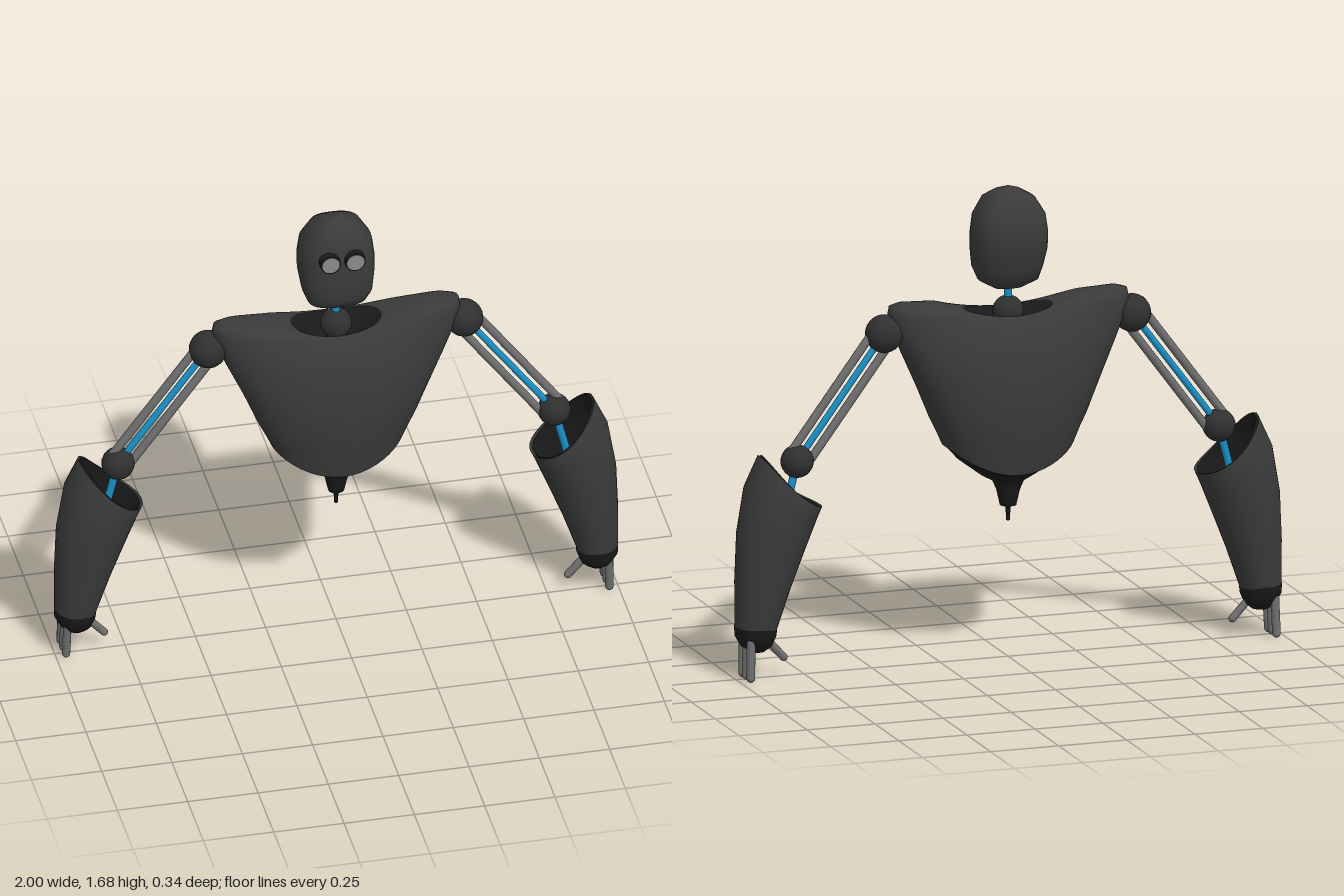
import * as THREE from 'three';

const material = (color, side = THREE.FrontSide) => new THREE.MeshStandardMaterial({ color, side, roughness: 0.8 });
const shell = material(0x3a3a3a, THREE.DoubleSide);
const joint = material(0x303030);
const dark = material(0x1a1a1a, THREE.DoubleSide);
const metal = material(0x6e6e6e);
const blue = material(0x1a8fc4);
const lens = material(0x8a8a8a);

function add(parent, name, geometry, mat) {
  const mesh = new THREE.Mesh(geometry, mat);
  mesh.name = name;
  parent.add(mesh);
  return mesh;
}

// Skin over rings listed from low to high: [cx, cz, halfWidth, halfDepth, y, tilt, bow].
// Tilt raises the +x side, bow raises both sides; power < 1 squares the section.
function loft(rings, { sides = 32, px = 1, pz = 1, capBottom = false, capTop = false } = {}) {
  const pos = [], idx = [];
  const squash = (v, p) => Math.sign(v) * Math.abs(v) ** p;
  rings.forEach(([cx, cz, w, d, y, tilt = 0, bow = 0]) => {
    for (let i = 0; i < sides; i++) {
      const a = (i / sides) * Math.PI * 2;
      const u = squash(Math.cos(a), px), v = squash(Math.sin(a), pz);
      pos.push(cx + w * u, y + tilt * u + bow * u * u, cz + d * v);
    }
  });
  for (let j = 0; j < rings.length - 1; j++) {
    for (let i = 0; i < sides; i++) {
      const a = j * sides + i, c = j * sides + (i + 1) % sides;
      idx.push(a, a + sides, c, c, a + sides, c + sides);
    }
  }
  const cap = (j, up) => {
    const [cx, cz, , , y] = rings[j], centre = pos.length / 3;
    pos.push(cx, y, cz);
    for (let i = 0; i < sides; i++) {
      const a = j * sides + i, b = j * sides + (i + 1) % sides;
      idx.push(centre, up ? b : a, up ? a : b);
    }
  };
  if (capBottom) cap(0, false);
  if (capTop) cap(rings.length - 1, true);
  const g = new THREE.BufferGeometry();
  g.setAttribute('position', new THREE.Float32BufferAttribute(pos, 3));
  g.setIndex(idx);
  g.computeVertexNormals();
  return g;
}

// Round bar between two points, with rounded ends if wanted
function rod(parent, name, from, to, r, mat, rounded = false) {
  const a = new THREE.Vector3(...from), b = new THREE.Vector3(...to);
  const dir = b.clone().sub(a), len = dir.length();
  const g = rounded ? new THREE.CapsuleGeometry(r, len - 2 * r, 4, 10) : new THREE.CylinderGeometry(r, r, len, 12);
  const mesh = add(parent, name, g, mat);
  mesh.position.copy(a).add(b).multiplyScalar(0.5);
  mesh.quaternion.setFromUnitVectors(new THREE.Vector3(0, 1, 0), dir.normalize());
}

function ball(parent, name, x, y, r) {
  add(parent, name, new THREE.SphereGeometry(r, 20, 14), joint).position.set(x, y, 0);
}

function makeTorso() {
  const g = new THREE.Group();
  g.name = 'torso';
  add(g, 'chestShell', loft([
    [0, 0, 0.235, 0.13, 0.68, 0, 0.095],
    [0, 0, 0.255, 0.147, 0.77, 0, 0.05],
    [0, 0, 0.28, 0.162, 0.87],
    [0, 0, 0.33, 0.168, 0.99],
    [0, 0, 0.385, 0.15, 1.11],
    [0, 0, 0.42, 0.125, 1.18, 0, 0.01],
    [0, 0, 0.44, 0.105, 1.22, 0, 0.04],
    [0, 0, 0.435, 0.095, 1.235, 0, 0.055],
    [0, 0, 0.4, 0.09, 1.24, 0, 0.06],
    [0, 0, 0.28, 0.088, 1.24, 0, 0.055],
    [0, 0, 0.16, 0.085, 1.24, 0, 0.02],
  ], { sides: 48, pz: 0.8 }), shell);
  // Recessed dish around the neck
  add(g, 'neckRecess', loft([
    [0, 0, 0.07, 0.04, 1.19],
    [0, 0, 0.16, 0.085, 1.24, 0, 0.02],
  ], { sides: 48, pz: 0.8, capBottom: true }), dark);
  // Underside tapering to a short spine tip
  add(g, 'pelvis', loft([
    [0, 0, 0.006, 0.006, 0.49],
    [0, 0, 0.009, 0.009, 0.54],
    [0, 0, 0.028, 0.028, 0.545],
    [0, 0, 0.04, 0.04, 0.6],
    [0, 0, 0.055, 0.05, 0.635],
    [0, 0, 0.1, 0.075, 0.66],
    [0, 0, 0.18, 0.11, 0.675, 0, 0.045],
    [0, 0, 0.233, 0.128, 0.685, 0, 0.095],
  ], { sides: 48, pz: 0.8, capBottom: true }), dark);
  return g;
}

function makeHead() {
  const g = new THREE.Group();
  g.name = 'head';
  ball(g, 'neckJoint', 0, 1.24, 0.055);
  rod(g, 'neck', [0, 1.27, 0], [0, 1.36, 0], 0.015, blue);
  add(g, 'skull', loft([
    [0, 0, 0.05, 0.03, 1.325],
    [0, 0.002, 0.105, 0.077, 1.355],
    [0, 0.01, 0.122, 0.1, 1.4],
    [0, -0.005, 0.133, 0.109, 1.47],
    [0, -0.01, 0.133, 0.11, 1.53],
    [0, -0.008, 0.125, 0.104, 1.59],
    [0, -0.003, 0.09, 0.082, 1.648],
    [0, 0, 0.045, 0.042, 1.674],
    [0, 0, 0.008, 0.008, 1.686],
  ], { sides: 32, px: 0.75, pz: 0.75, capBottom: true, capTop: true }), shell);
  for (const s of [-1, 1]) {
    const rim = add(g, 'eyeSocket', new THREE.CylinderGeometry(0.036, 0.036, 0.04, 24), dark);
    const eye = add(g, 'eyeLens', new THREE.CylinderGeometry(0.031, 0.031, 0.04, 24), lens);
    rim.rotation.x = eye.rotation.x = Math.PI / 2;
    rim.position.set(s * 0.044, 1.56, 0.096);
    eye.position.set(s * 0.044, 1.56, 0.098);
  }
  return g;
}

function makeArm(s) {
  const g = new THREE.Group();
  g.name = s > 0 ? 'leftArm' : 'rightArm';
  const shoulder = [0.455, 1.195], elbow = [0.775, 0.765];
  ball(g, 'shoulderJoint', s * shoulder[0], shoulder[1], 0.067);
  ball(g, 'elbowJoint', s * elbow[0], elbow[1], 0.058);

  // Upper arm: two bars beside a blue core
  for (const k of [-1, 0, 1]) {
    const ox = k * 0.031, oy = k * 0.023;
    rod(g, k ? 'upperArmBar' : 'upperArmCore',
      [s * (shoulder[0] + ox), shoulder[1] + oy, 0],
      [s * (elbow[0] + ox), elbow[1] + oy, 0], k ? 0.015 : 0.012, k ? metal : blue);
  }
  rod(g, 'forearmCore', [s * 0.775, 0.765, 0], [s * 0.93, 0.15, 0], 0.014, blue);

  // Forearm sleeve, open at the slanted top: [inner x, outer x, inner y, outer y, depth, bow]
  const sections = [
    [0.855, 1, 0.175, 0.185, 0.082, 0],
    [0.805, 1, 0.32, 0.35, 0.1, 0],
    [0.75, 0.993, 0.46, 0.52, 0.115, 0],
    [0.708, 0.965, 0.565, 0.685, 0.125, 0.015],
    [0.69, 0.914, 0.604, 0.797, 0.115, 0.03],
  ];
  const rings = (inset) => sections.map(([xi, xo, yi, yo, d, bow]) =>
    [s * (xi + xo) / 2, 0, (xo - xi) / 2 - inset, d - inset, (yi + yo) / 2 - bow, s * (yo - yi) / 2, bow]);
  add(g, 'forearmSleeve', loft(rings(0)), shell);
  add(g, 'sleeveLining', loft(rings(0.01), { capBottom: true }), dark);
  add(g, 'wrist', loft([
    [s * 0.925, 0, 0.03, 0.035, 0.1],
    [s * 0.925, 0, 0.055, 0.06, 0.12],
    [s * 0.928, 0, 0.072, 0.08, 0.155],
    [s * 0.927, 0, 0.074, 0.084, 0.19],
  ], { capBottom: true }), dark);

  // Three fingers and an inward thumb
  for (const [z0, z1] of [[0.038, 0.026], [-0.008, -0.015], [-0.052, -0.06]]) {
    rod(g, 'finger', [s * 0.962, 0.16, z0], [s * 0.966, 0.002, z1], 0.015, metal, true);
  }
  rod(g, 'thumb', [s * 0.895, 0.145, 0], [s * 0.815, 0.058, 0], 0.014, metal, true);
  return g;
}

export function createModel() {
  const model = new THREE.Group();
  model.name = 'robot';
  model.add(makeTorso(), makeHead(), makeArm(1), makeArm(-1));
  return model;
}
